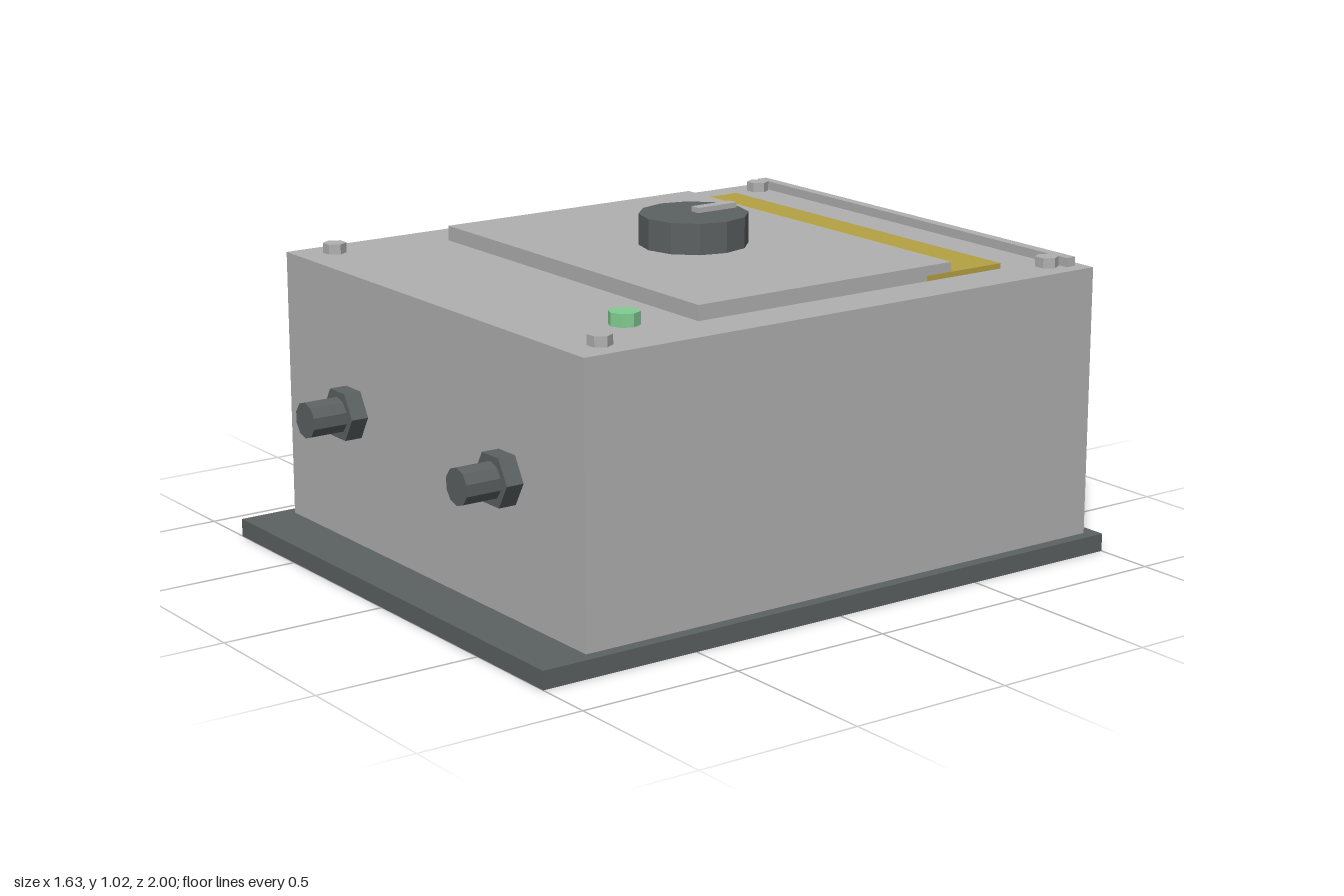
import * as THREE from 'three';

const material = (name, color) => {
  const m = new THREE.MeshStandardMaterial({ color });
  m.name = name;
  return m;
};

export function createModel() {
  const grey = material('light grey', 0xb0b0b0);
  const dark = material('dark grey', 0x5c6161);
  const yellow = material('mustard', 0xb5a243);
  const green = material('green', 0x82cc92);
  const model = new THREE.Group();
  model.name = 'controlBox';

  const add = (name, geometry, mat) => {
    const mesh = new THREE.Mesh(geometry, mat);
    mesh.name = name;
    model.add(mesh);
    return mesh;
  };
  // Box given by its min and max on each axis
  const box = (name, mat, [x0, x1], [y0, y1], [z0, z1]) =>
    add(name, new THREE.BoxGeometry(x1 - x0, y1 - y0, z1 - z0)
      .translate((x0 + x1) / 2, (y0 + y1) / 2, (z0 + z1) / 2), mat);
  // Faceted upright prism with a corner at angle `turn` from +z
  const prism = (r, h, sides, turn = 0) =>
    new THREE.CylinderGeometry(r, r, h, sides).rotateY(turn).toNonIndexed();
  const faceted = (g) => { g.computeVertexNormals(); return g; };

  // Base plate and housing
  box('basePlate', dark, [-0.817, 0.817], [0, 0.054], [-1, 1]);
  box('housing', grey, [-0.78, 0.78], [0.054, 0.865], [-0.96, 0.838]);

  // Lid details
  box('panel', grey, [-0.634, 0.634], [0.865, 0.91], [-0.54, 0.362]);
  box('labelStrip', yellow, [-0.635, 0.635], [0.865, 0.881], [-0.73, -0.45]);
  box('hingeBar', grey, [-0.735, 0.735], [0.865, 0.892], [-0.93, -0.897]);

  // Corner screws
  for (const x of [-0.69, 0.69]) for (const z of [-0.86, 0.725])
    add('screw', faceted(prism(0.035, 0.03, 6, Math.PI / 2)), grey).position.set(x, 0.88, z);

  // Indicator lamp
  add('lamp', faceted(prism(0.045, 0.038, 8)), green).position.set(0.543, 0.884, 0.543);

  // Rotary knob with pointer
  add('knob', faceted(prism(0.163, 0.093, 12)), dark).position.set(0, 0.956, -0.09);
  box('knobPointer', grey, [-0.017, 0.017], [1.0, 1.018], [-0.235, -0.095]);

  // Cable glands on the front
  for (const x of [-0.408, 0.408]) {
    add('glandNut', faceted(prism(0.081, 0.054, 6, Math.PI / 2).rotateX(Math.PI / 2)), dark)
      .position.set(x, 0.455, 0.865);
    add('glandStem', faceted(prism(0.054, 0.11, 10).rotateX(Math.PI / 2)), dark)
      .position.set(x, 0.455, 0.945);
  }
  return model;
}
